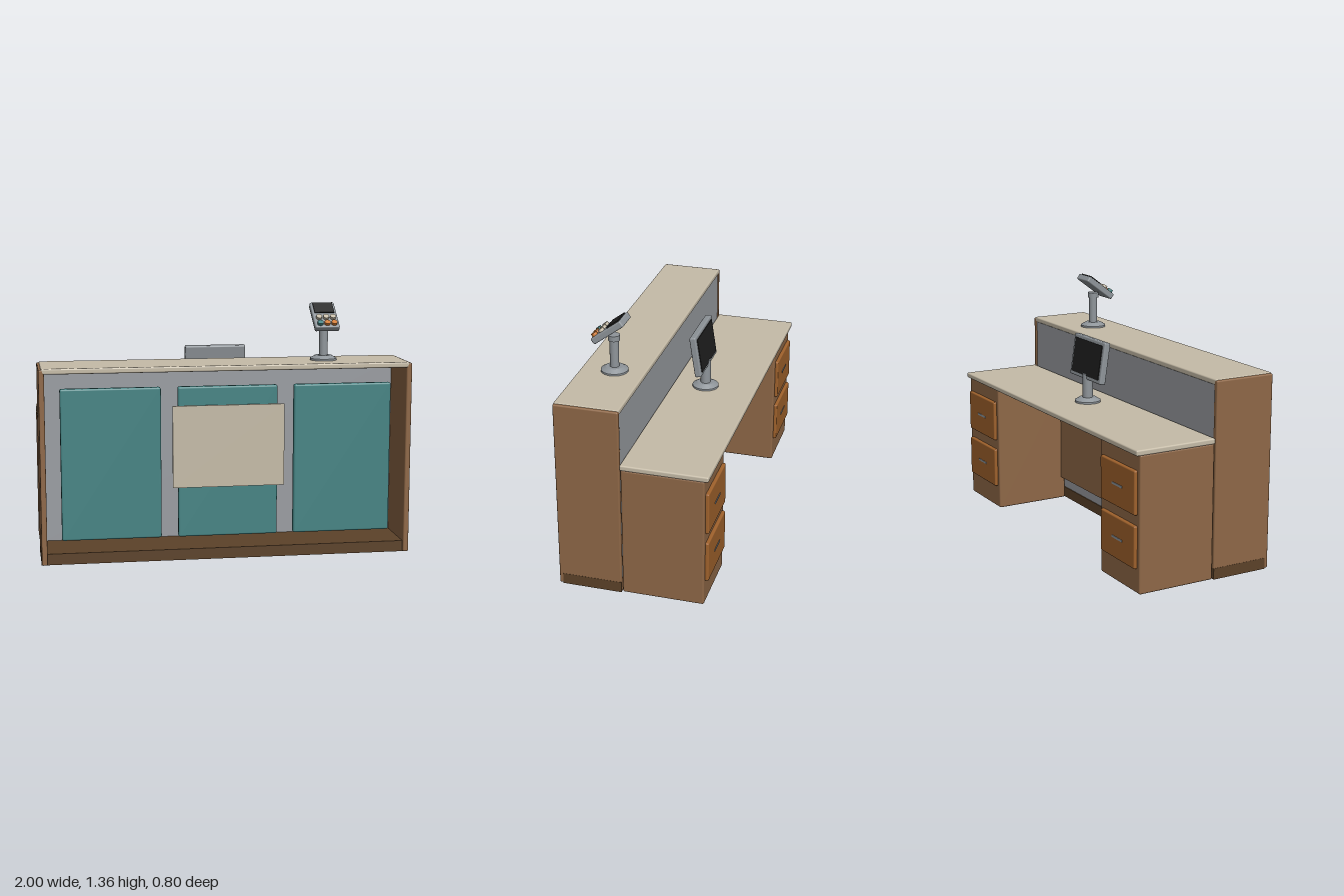
import * as THREE from 'three';
import { RoundedBoxGeometry } from 'three/addons/geometries/RoundedBoxGeometry.js';

const mat = (name, color) => {
  const m = new THREE.MeshStandardMaterial({ color });
  m.name = name;
  return m;
};

export function createModel() {
  const M = {
    wood: mat('wood', 0x8f6847),
    plinth: mat('dark wood', 0x5c4229),
    drawer: mat('orange wood', 0xa0622c),
    cream: mat('cream', 0xc6bca8),
    panel: mat('panel grey', 0x9a9da2),
    metal: mat('metal grey', 0x8f959a),
    teal: mat('teal', 0x458484),
    dark: mat('screen black', 0x1e1e1e),
    orange: mat('key orange', 0xd07a30),
  };
  const root = new THREE.Group();

  const add = (parent, name, geo, material, x = 0, y = 0, z = 0) => {
    const mesh = new THREE.Mesh(geo, material);
    mesh.name = name;
    mesh.position.set(x, y, z);
    parent.add(mesh);
    return mesh;
  };
  // Box given by its extents; r > 0 rounds the edges
  const block = (name, material, [x0, x1], [y0, y1], [z0, z1], r = 0, parent = root) => {
    const s = [x1 - x0, y1 - y0, z1 - z0];
    const geo = r ? new RoundedBoxGeometry(...s, 2, r) : new THREE.BoxGeometry(...s);
    return add(parent, name, geo, material, (x0 + x1) / 2, (y0 + y1) / 2, (z0 + z1) / 2);
  };

  // Tall front counter
  block('plinth', M.plinth, [-1, 1], [0, 0.06], [0.06, 0.38]);
  block('backPanel', M.panel, [-0.97, 0.97], [0.06, 1.025], [0.065, 0.09]);
  block('counterTop', M.cream, [-0.986, 0.986], [1.02, 1.05], [0.06, 0.4], 0.008);
  for (const s of [-1, 1]) {
    const x = s * 0.984;
    block('sidePanel', M.wood, [x - 0.015, x + 0.015], [0.002, 1.045], [0.06, 0.4], 0.008);
  }

  // Front decorative panels and blank sign board
  for (const [x0, x1] of [[-0.89, -0.36], [-0.27, 0.265], [0.355, 0.885]]) {
    block('frontPanel', M.teal, [x0, x1], [0.13, 0.94], [0.35, 0.39], 0.01);
  }
  block('signBoard', M.cream, [-0.3, 0.3], [0.4, 0.84], [0.388, 0.4]);

  // Rear desk
  block('deskTop', M.cream, [-0.995, 0.995], [0.72, 0.75], [-0.4, 0.06], 0.008);
  block('modestyPanel', M.wood, [-0.62, 0.62], [0.13, 0.722], [0.03, 0.05]);
  for (const s of [-1, 1]) {
    const x = s * 0.8;
    block('pedestal', M.wood, [x - 0.195, x + 0.195], [0, 0.724], [-0.38, 0.055], 0.01);
    for (const [y0, y1] of [[0.13, 0.355], [0.41, 0.64]]) {
      const y = (y0 + y1) / 2;
      block('drawerFront', M.drawer, [x - 0.17, x + 0.17], [y0, y1], [-0.398, -0.37], 0.008);
      block('drawerHandle', M.metal, [x - 0.05, x + 0.05], [y - 0.006, y + 0.006], [-0.4, -0.395]);
    }
  }

  // Round foot with a pole, used by both devices
  const stand = (name, x, y, z, height, r) => {
    const g = new THREE.Group();
    g.name = name;
    g.position.set(x, y, z);
    root.add(g);
    add(g, 'footRim', new THREE.CylinderGeometry(0.072, 0.072, 0.01, 32), M.metal, 0, 0.005);
    add(g, 'footCone', new THREE.CylinderGeometry(0.045, 0.072, 0.016, 32), M.metal, 0, 0.018);
    add(g, 'pole', new THREE.CylinderGeometry(r, r, height, 24), M.metal, 0, height / 2);
    return g;
  };
  const head = (name, x, y, z, tilt) => {
    const g = new THREE.Group();
    g.name = name;
    g.position.set(x, y, z);
    g.rotation.x = tilt;
    root.add(g);
    return g;
  };

  // Monitor facing the rear
  stand('monitorStand', 0, 0.75, -0.12, 0.16, 0.028);
  const monitor = head('monitor', 0, 0.99, -0.105, 0.15);
  block('monitorBody', M.metal, [-0.17, 0.17], [-0.115, 0.115], [-0.018, 0.018], 0.008, monitor);
  block('monitorScreen', M.dark, [-0.148, 0.148], [-0.095, 0.095], [-0.022, -0.017], 0, monitor);

  // Payment terminal on the counter
  const post = stand('terminalStand', 0.548, 1.05, 0.222, 0.2, 0.024);
  add(post, 'collar', new THREE.CylinderGeometry(0.031, 0.031, 0.03, 24), M.metal, 0, 0.187);
  const terminal = head('terminal', 0.548, 1.285, 0.238, 0.64);
  block('terminalBody', M.metal, [-0.067, 0.067], [-0.018, 0.018], [-0.1, 0.1], 0.008, terminal);
  block('terminalScreen', M.dark, [-0.054, 0.054], [0.017, 0.024], [-0.09, -0.01], 0, terminal);
  const keyGeo = new THREE.CylinderGeometry(0.016, 0.016, 0.018, 20);
  const keyRows = [[0.03, [M.cream, M.cream, M.cream]], [0.076, [M.teal, M.orange, M.orange]]];
  for (const [z, colours] of keyRows) {
    colours.forEach((c, i) => add(terminal, 'key', keyGeo, c, (i - 1) * 0.038, 0.024, z));
  }

  return root;
}
